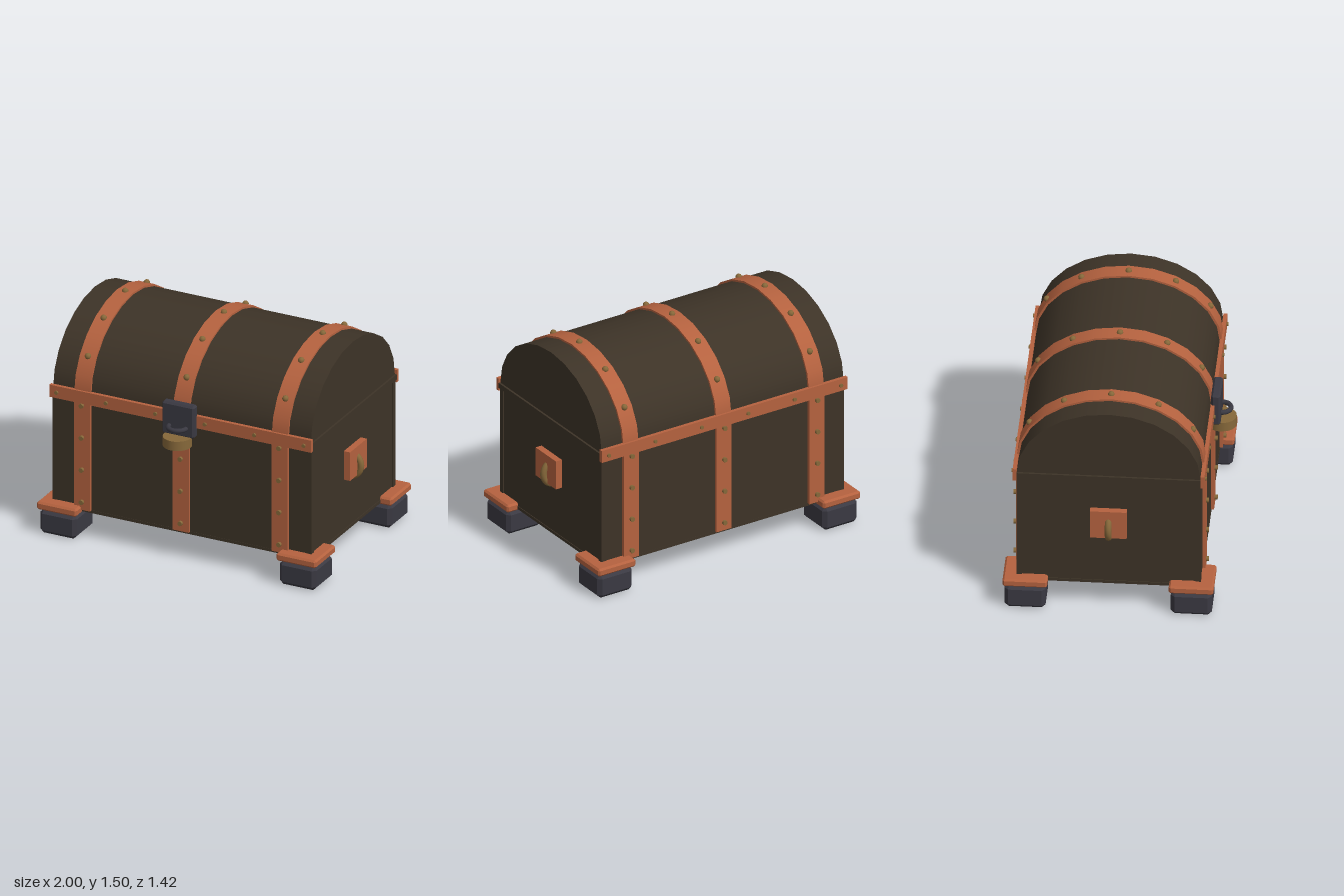
import * as THREE from 'three';
import { ConvexGeometry } from 'three/addons/geometries/ConvexGeometry.js';

const CZ = -0.037; // middle of the chest in depth

const material = (name, color) => {
  const m = new THREE.MeshStandardMaterial({ color });
  m.name = name;
  return m;
};

// Box with all edges cut at 45 degrees
function chamferBox(w, h, d, c) {
  const points = [];
  for (const i of [-1, 1]) for (const j of [-1, 1]) for (const k of [-1, 1]) {
    const x = i * w / 2, y = j * h / 2, z = k * d / 2;
    points.push(
      new THREE.Vector3(x, y - j * c, z - k * c),
      new THREE.Vector3(x - i * c, y, z - k * c),
      new THREE.Vector3(x - i * c, y - j * c, z));
  }
  return new ConvexGeometry(points);
}

// Half barrel lying along x
function archGeometry(length, height, halfDepth) {
  const g = new THREE.CylinderGeometry(1, 1, length, 12, 1, false, 0, Math.PI);
  g.rotateZ(Math.PI / 2);
  g.scale(1, height, halfDepth);
  return g;
}

export function createModel() {
  const chest = new THREE.Group();
  chest.name = 'treasureChest';
  const wood = material('darkWood', 0x3d3327);
  const copper = material('copper', 0xb5623f);
  const iron = material('iron', 0x3a3942);
  const brass = material('brass', 0x86683a);

  const add = (name, geometry, mat, x, y, z) => {
    const mesh = new THREE.Mesh(geometry, mat);
    mesh.name = name;
    mesh.position.set(x, y, z);
    chest.add(mesh);
    return mesh;
  };
  const box = (w, h, d) => new THREE.BoxGeometry(w, h, d);

  // Body, floor board, lid rim and arched lid
  add('body', box(1.83, 0.78, 1.17), wood, 0, 0.59, CZ);
  add('floorBoard', box(1.84, 0.02, 1.174), wood, 0, 0.19, CZ);
  add('lidRim', box(1.868, 0.035, 1.194), wood, 0, 0.983, CZ);
  add('lid', archGeometry(1.84, 0.47, 0.587), wood, 0, 1, CZ);
  for (const sx of [-1, 1]) for (const sz of [-1, 1]) {
    add('cornerPost', box(0.035, 0.76, 0.035), wood, sx * 0.906, 0.58, CZ + sz * 0.571);
  }

  // Straps with nails on the front, back and lid
  const nailGeometry = new THREE.CylinderGeometry(0.016, 0.016, 0.03, 10);
  nailGeometry.rotateX(Math.PI / 2);
  const studGeometry = new THREE.SphereGeometry(0.021, 12, 8);
  const lidStrapGeometry = archGeometry(0.115, 0.483, 0.602);
  for (const x of [-0.705, 0, 0.705]) {
    add('lidStrap', lidStrapGeometry, copper, x, 1, CZ);
    for (let i = 1; i <= 5; i++) {
      const a = i * Math.PI / 6;
      add('lidStud', studGeometry, brass, x, 1 + 0.483 * Math.sin(a), CZ + 0.602 * Math.cos(a));
    }
    for (const s of [-1, 1]) {
      add('bodyStrap', box(0.115, 0.81, 0.025), copper, x, 0.602, CZ + s * 0.592);
      for (const y of [0.255, 0.48, 0.705, 0.93]) {
        add('strapNail', nailGeometry, brass, x, y, CZ + s * 0.608);
      }
    }
  }

  // Horizontal bands along the seam
  for (const s of [-1, 1]) {
    add('seamBand', box(1.87, 0.085, 0.025), copper, 0, 0.988, CZ + s * 0.599);
    for (let i = 0; i < 6; i++) {
      const nail = add('seamNail', nailGeometry, brass, -0.882 + i * 0.353, 0.987, CZ + s * 0.608);
      nail.scale.set(0.8, 0.8, 1);
    }
  }

  // Side plates with ring handles
  const ringGeometry = new THREE.TorusGeometry(0.084, 0.022, 10, 28);
  for (const s of [-1, 1]) {
    add('handlePlate', box(0.05, 0.2, 0.235), copper, s * 0.935, 0.65, CZ);
    add('ringHandle', ringGeometry, brass, s * 0.893, 0.612, CZ);
  }

  // Feet with copper caps
  const capGeometry = chamferBox(0.285, 0.055, 0.285, 0.012);
  const footGeometry = chamferBox(0.262, 0.165, 0.262, 0.025);
  for (const x of [-0.855, 0.855]) for (const s of [-1, 1]) {
    add('footCap', capGeometry, copper, x, 0.195, CZ + s * 0.53);
    add('foot', footGeometry, iron, x, 0.0825, CZ + s * 0.53);
  }

  // Lock: iron plate, brass drum and a half-ring pull
  add('lockPlate', chamferBox(0.23, 0.225, 0.06, 0.012), iron, 0, 0.992, 0.582);
  add('lockDrum', new THREE.CylinderGeometry(0.094, 0.094, 0.065, 24), brass, 0, 0.853, 0.614);
  const pullGeometry = new THREE.TorusGeometry(0.06, 0.016, 8, 20, Math.PI);
  pullGeometry.rotateX(Math.PI / 2);
  add('lockPull', pullGeometry, iron, 0, 0.945, 0.612);

  return chest;
}
